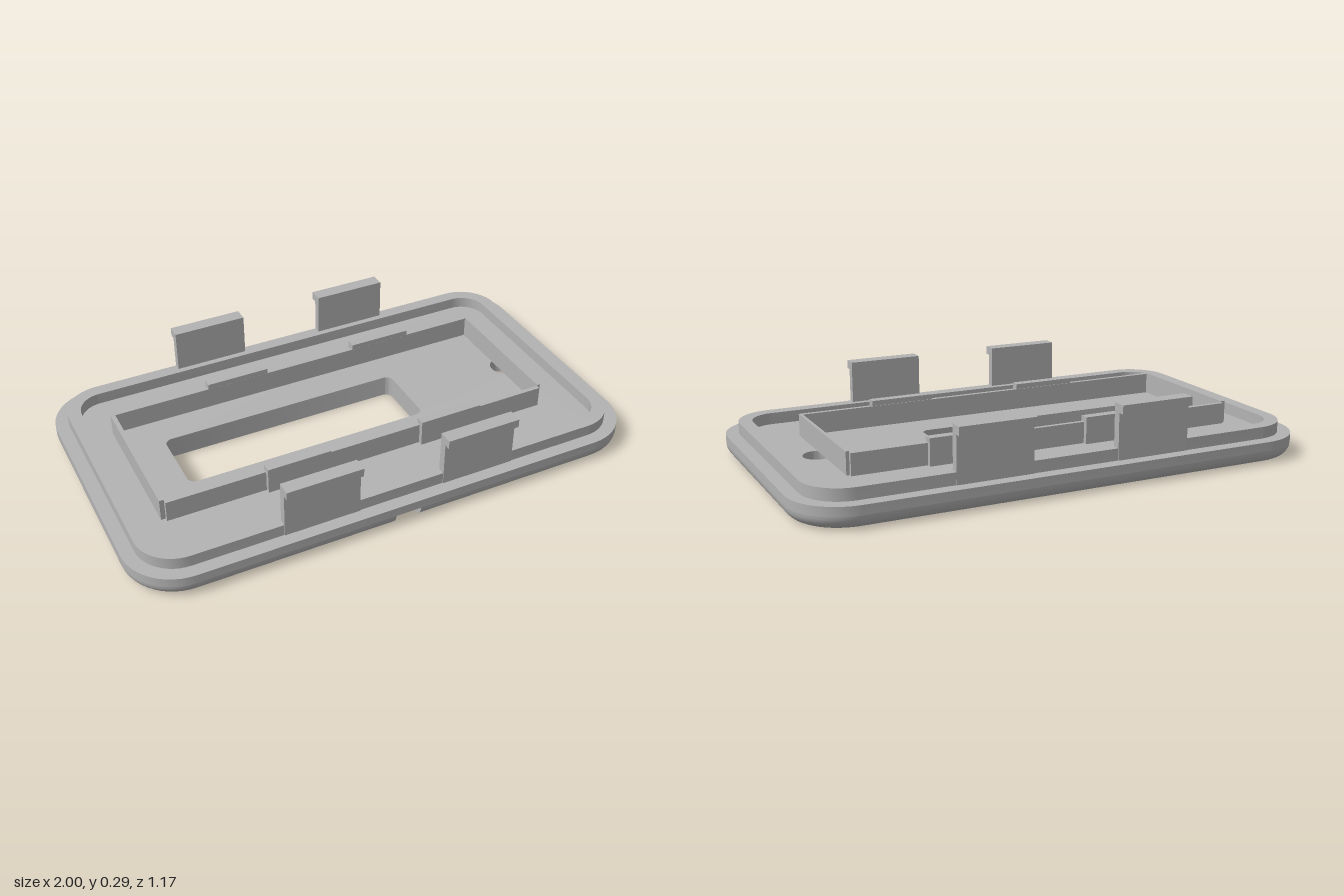
import * as THREE from 'three';
import { toCreasedNormals } from 'three/addons/utils/BufferGeometryUtils.js';

const HX = 1, HZ = 0.583, CORNER = 0.2; // plate half sizes and corner radius
const ROUND = 0.05;                     // rounding of the lower edge
const FLOOR = 0.085;                    // top of the plate

export function createModel() {
  const model = new THREE.Group();
  model.name = 'enclosureLid';
  const grey = new THREE.MeshStandardMaterial({ color: 0xb3b3b3 });
  grey.name = 'grey plastic';

  const add = (name, geometry) => {
    const mesh = new THREE.Mesh(geometry, grey);
    mesh.name = name;
    model.add(mesh);
  };

  // Plan outline (x, -z), counterclockwise; optional notch in the front edge
  const outline = (inset, notch = false) => {
    const r = CORNER - inset, cx = HX - CORNER, cy = HZ - CORNER, pts = [];
    [[1, 1], [-1, 1], [-1, -1], [1, -1]].forEach(([sx, sy], q) => {
      if (q === 3 && notch) {
        const front = -(HZ - inset), back = -(HZ - ROUND);
        [[-0.05, front], [-0.05, back], [0.05, back], [0.05, front]]
          .forEach(([x, y]) => pts.push(new THREE.Vector2(x, y)));
      }
      for (let i = 0; i <= 12; i++) {
        const a = (q + i / 12) * Math.PI / 2;
        pts.push(new THREE.Vector2(sx * cx + r * Math.cos(a), sy * cy + r * Math.sin(a)));
      }
    });
    return pts;
  };

  const circle = (x, r) => new THREE.Path().absarc(x, 0, r, 0, Math.PI * 2, true);

  const windowHole = () => {
    const [x0, x1, y0, y1, r] = [-0.655, 0.31, -0.132, 0.142, 0.03];
    const p = new THREE.Path();
    p.absarc(x1 - r, y1 - r, r, 0, Math.PI / 2);
    p.absarc(x0 + r, y1 - r, r, Math.PI / 2, Math.PI);
    p.absarc(x0 + r, y0 + r, r, Math.PI, Math.PI * 1.5);
    p.absarc(x1 - r, y0 + r, r, Math.PI * 1.5, Math.PI * 2);
    p.closePath();
    return p;
  };

  // Upright slab from a plan outline with holes
  const slab = (name, points, holes, y0, y1) => {
    const shape = new THREE.Shape(points);
    shape.holes.push(...holes);
    const geo = new THREE.ExtrudeGeometry(shape, { depth: y1 - y0, bevelEnabled: false, curveSegments: 24 });
    geo.rotateX(-Math.PI / 2).translate(0, y0, 0);
    add(name, toCreasedNormals(geo, 0.5));
  };

  // Plate: recessed underside, middle layer, full-size upper layer
  slab('plateUnderside', outline(ROUND), [windowHole(), circle(0.7, 0.155)], 0, 0.02);
  slab('plateCore', outline(ROUND), [windowHole(), circle(0.765, 0.055)], 0.02, ROUND);
  slab('plateTop', outline(0), [windowHole(), circle(0.765, 0.055)], ROUND, FLOOR);

  // Rounded lower edge, lofted from inset outlines and interrupted by the notch
  const positions = [], indices = [], STEPS = 8;
  let count = 0;
  for (let j = 0; j <= STEPS; j++) {
    const a = (j / STEPS) * Math.PI / 2;
    const ring = outline(ROUND * (1 - Math.sin(a)), true);
    count = ring.length;
    ring.forEach(p => positions.push(p.x, ROUND * (1 - Math.cos(a)), -p.y));
  }
  for (let j = 0; j < STEPS; j++) {
    for (let i = 0; i < count; i++) {
      const a = j * count + i, b = j * count + (i + 1) % count;
      indices.push(a, b, b + count, a, b + count, a + count);
    }
  }
  const edge = new THREE.BufferGeometry();
  edge.setAttribute('position', new THREE.Float32BufferAttribute(positions, 3));
  edge.setIndex(indices);
  add('roundedLowerEdge', toCreasedNormals(edge, 0.5));

  // Raised rim that fits inside the matching shell
  slab('raisedRim', outline(0.05), [new THREE.Path(outline(0.102))], FLOOR, 0.13);

  const box = (name, x0, x1, y0, y1, z0, z1) => add(name,
    new THREE.BoxGeometry(x1 - x0, y1 - y0, z1 - z0)
      .translate((x0 + x1) / 2, (y0 + y1) / 2, (z0 + z1) / 2));

  // Clip: a (z, y) profile extruded along x
  const clip = (name, x0, x1, side, profile) => {
    const shape = new THREE.Shape(profile.map(([z, y]) => new THREE.Vector2(-z * side, y)));
    const geo = new THREE.ExtrudeGeometry(shape, { depth: x1 - x0, bevelEnabled: false });
    add(name, geo.rotateY(Math.PI / 2).translate(x0, 0, 0));
  };
  const outerProfile = [[0.505, FLOOR], [0.536, FLOOR], [0.536, 0.26], [0.56, 0.26], [0.56, 0.293], [0.505, 0.293]];
  const innerProfile = [[0.287, FLOOR], [0.306, FLOOR], [0.306, 0.188], [0.27, 0.188], [0.27, 0.168], [0.287, 0.168]];

  // Display frame walls
  box('frameEndRight', -0.815, -0.798, FLOOR, 0.171, -0.273, 0.273);
  box('frameEndLeft', 0.738, 0.75, FLOOR, 0.171, -0.273, 0.273);
  for (const side of [1, -1]) {
    const z = side * 0.2795;
    box('frameSide', -0.798, 0.738, FLOOR, 0.167, z - 0.0085, z + 0.0085);
    // Snap clips on the frame and along the rim
    for (const [x0, x1] of [[-0.42, -0.17], [0.205, 0.455]]) clip('frameClip', x0, x1, side, innerProfile);
    for (const [x0, x1] of [[-0.46, -0.17], [0.165, 0.455]]) clip('rimClip', x0, x1, side, outerProfile);
  }
  return model;
}
